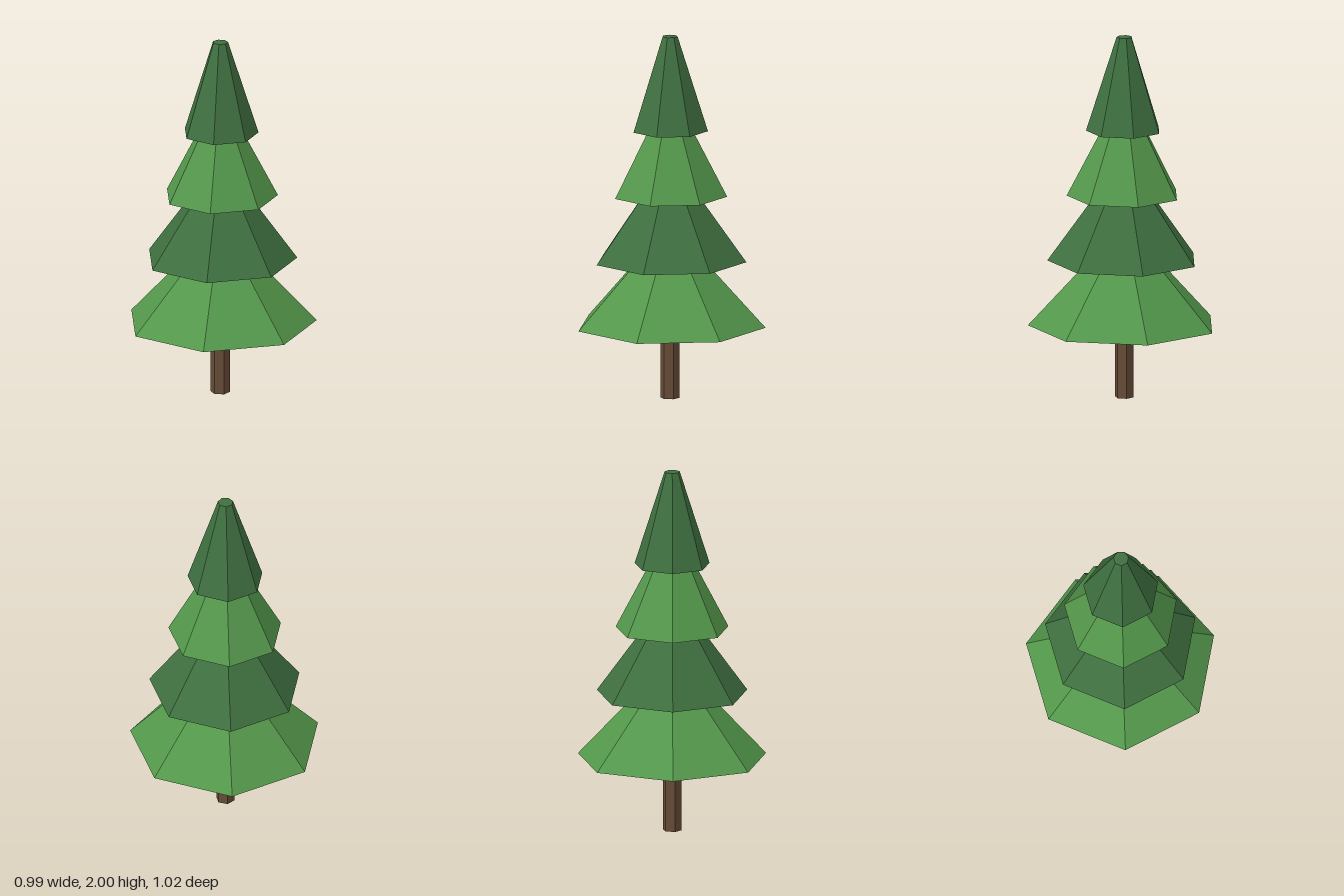
import * as THREE from 'three';

const CENTRE_X = -0.028; // the seven-sided tiers are off-centre so the bounds sit on x = 0

function material(name, color) {
  const m = new THREE.MeshStandardMaterial({ color });
  m.name = name;
  m.flatShading = true;
  return m;
}

// Tapered prism standing on y = base, with one corner pointing to +x
function prism(name, topRadius, bottomRadius, base, height, sides, mat) {
  const geometry = new THREE.CylinderGeometry(topRadius, bottomRadius, height, sides, 1, false, Math.PI / 2);
  const mesh = new THREE.Mesh(geometry, mat);
  mesh.name = name;
  mesh.position.set(CENTRE_X, base + height / 2, 0);
  return mesh;
}

export function createModel() {
  const tree = new THREE.Group();
  tree.name = 'pineTree';

  const bark = material('bark brown', 0x664b36);
  const lightGreen = material('light needle green', 0x54984c);
  const darkGreen = material('dark needle green', 0x3f7040);

  // Trunk
  tree.add(prism('trunk', 0.052, 0.052, 0, 0.45, 6, bark));

  // Overlapping foliage tiers, shrinking upwards in alternating greens
  for (let i = 0; i < 4; i++) {
    const radius = 0.523 - i * 0.105;
    const base = 0.4 + i * 0.36;
    tree.add(prism(`foliageTier${i + 1}`, 0.042, radius, base, 0.52, 7, i % 2 ? darkGreen : lightGreen));
  }
  return tree;
}
